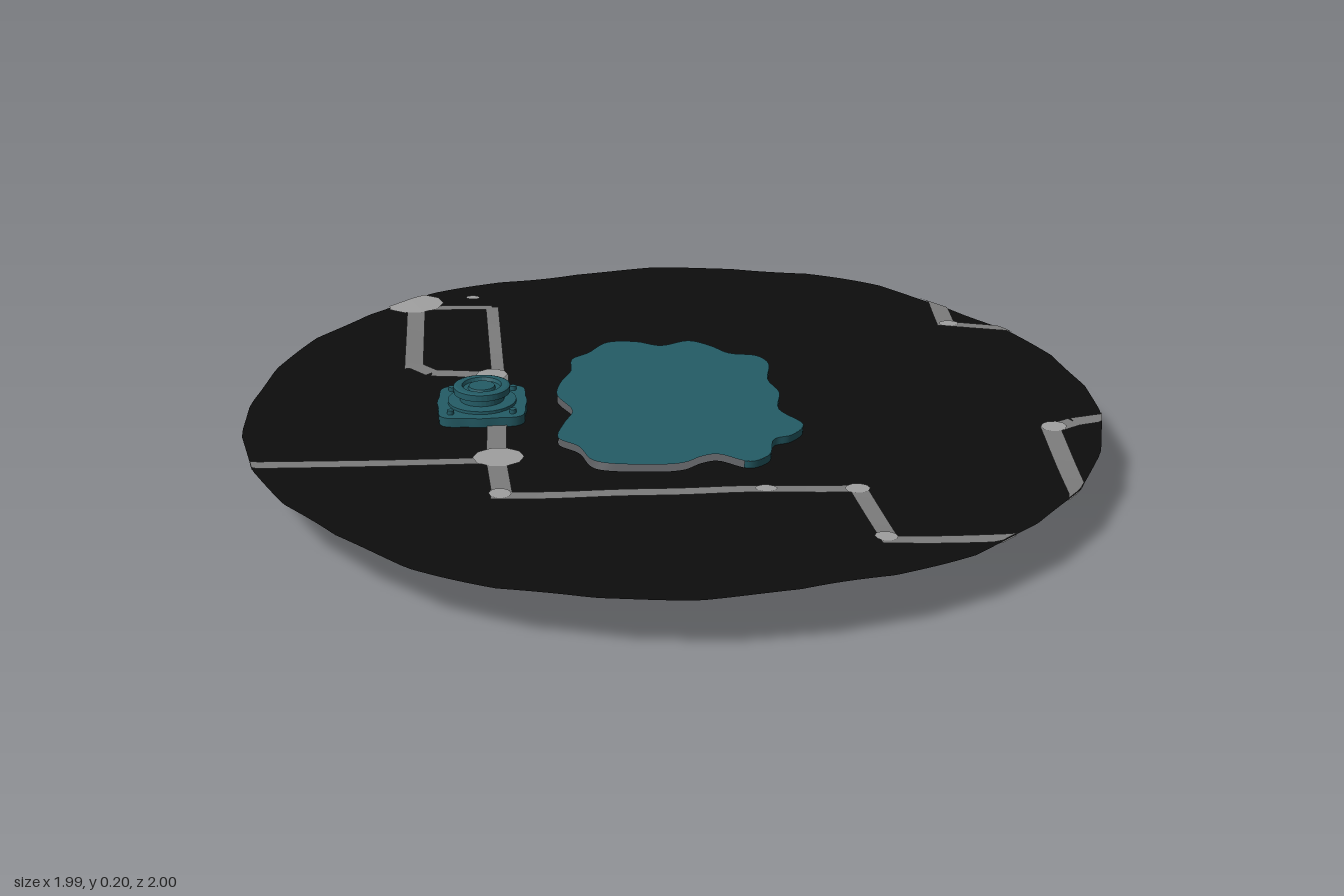
import * as THREE from 'three';

const mat = (name, color, double = true) =>
  new THREE.MeshStandardMaterial({ name, color, side: double ? THREE.DoubleSide : THREE.FrontSide });

// Surface grid from a rule (u, v) -> [x, y, z]
function surf(nu, nv, rule) {
  const pos = [], idx = [];
  for (let i = 0; i <= nu; i++)
    for (let j = 0; j <= nv; j++) pos.push(...rule(i / nu, j / nv));
  for (let i = 0; i < nu; i++)
    for (let j = 0; j < nv; j++) {
      const a = i * (nv + 1) + j, b = a + nv + 1;
      idx.push(a, a + 1, b, b, a + 1, b + 1);
    }
  const g = new THREE.BufferGeometry();
  g.setAttribute('position', new THREE.Float32BufferAttribute(pos, 3));
  g.setIndex(idx);
  g.computeVertexNormals();
  return g;
}

// Gentle waves of the ground, stronger towards the rim
const groundY = (x, z) => {
  const r = Math.hypot(x, z), a = Math.atan2(z, x);
  return 0.13 + r * r * (0.006 * Math.sin(5 * a + 1) + 0.004 * Math.sin(11 * a));
};

// Radius of the 30-sided rim in a given direction
const SIDE = Math.PI / 15;
const rimRadius = (a) => {
  const t = (((a + Math.PI / 2) % SIDE) + SIDE) % SIDE;
  return Math.cos(SIDE / 2) / Math.cos(t - SIDE / 2);
};

// Wavy outline of the basin (x, z)
const outline = new THREE.CatmullRomCurve3([
  [-.19, -.33], [-.14, -.4], [-.07, -.4], [-.01, -.37], [.06, -.4], [.11, -.365], [.155, -.31], [.22, -.29],
  [.245, -.24], [.235, -.13], [.255, -.05], [.245, .055], [.293, .15], [.26, .21], [.22, .23], [.2, .32],
  [.155, .355], [.085, .31], [.05, .32], [.005, .355], [-.085, .36], [-.19, .335], [-.225, .25], [-.27, .2],
  [-.255, .11], [-.235, .04], [-.27, -.06], [-.26, -.14], [-.235, -.21], [-.23, -.29],
].map(([x, z]) => new THREE.Vector3(x, 0, z)), true);

// Flat horizontal face from (x, z) points
function plate(points, y) {
  const g = new THREE.ShapeGeometry(new THREE.Shape(points.map((p) => new THREE.Vector2(p.x, -p.z))));
  return g.rotateX(-Math.PI / 2).translate(0, y, 0);
}

export function createModel() {
  const model = new THREE.Group();
  const black = mat('ground black', 0x0d0d0d);
  const grey = mat('path grey', 0x7c7c7c);
  const light = mat('junction grey', 0xa0a0a0);
  const teal = mat('teal', 0x245c66);

  const add = (name, geo, material, parent = model) => {
    const m = new THREE.Mesh(geo, material);
    m.name = name;
    parent.add(m);
    return m;
  };

  // Ground disc with an opening that follows the basin
  add('ground', surf(240, 12, (u, v) => {
    const p = outline.getPoint(u), a = Math.atan2(p.z, p.x), r = Math.hypot(p.x, p.z) * 0.995;
    // blend to rim vertices spaced evenly around
    const R = r + (rimRadius(a) - r) * v;
    const x = R * Math.cos(a), z = R * Math.sin(a);
    return [x, groundY(x, z), z];
  }), black);

  // Painted point laid on the ground, kept inside the rim
  const onGround = (x, z, lift) => {
    const a = Math.atan2(z, x), k = Math.min(1, rimRadius(a) / Math.hypot(x, z));
    return [x * k, groundY(x * k, z * k) + lift, z * k];
  };

  // Paths: width followed by corner points, drawn on both faces
  const paths = [
    [.036, [-1, .29], [-.41, .29]],
    [.045, [-.41, .06], [-.41, .29], [-.395, .475]],
    [.036, [-.42, .475], [.385, .475]],
    [.04, [.38, .46], [.42, .75]],
    [.036, [.4, .738], [.72, .738]],
    [.05, [-.41, -.1], [-.41, -.23]],
    [.04, [-.41, -.23], [-.57, -.25], [-.615, -.3]],
    [.045, [-.615, -.28], [-.625, -.72]],
    [.03, [-.64, -.695], [-.43, -.695]],
    [.032, [-.43, -.7], [-.41, -.23]],
    [.045, [.725, -.75], [.725, -.53]],
    [.035, [.72, -.545], [.9, -.485]],
    [.045, [.86, .55], [.86, .17]],
    [.045, [.85, .19], [.92, .15], [1.02, .125]],
  ];
  const pathGroup = new THREE.Group();
  pathGroup.name = 'paths';
  model.add(pathGroup);
  for (const [width, ...pts] of paths)
    for (let i = 0; i + 1 < pts.length; i++) {
      const [ax, az] = pts[i], [bx, bz] = pts[i + 1];
      const len = Math.hypot(bx - ax, bz - az);
      const nx = -(bz - az) / len * width, nz = (bx - ax) / len * width;
      for (const lift of [0.003, -0.003])
        add('path', surf(Math.ceil(len / 0.03), 1, (u, v) =>
          onGround(ax + (bx - ax) * u + nx * (v - .5), az + (bz - az) * u + nz * (v - .5), lift)), grey, pathGroup);
    }

  // Paler patches where paths turn or meet: x, z, radius x, radius z
  const junctions = [
    [-.405, .275, .058, .055], [-.425, -.23, .038, .035], [-.4, .468, .025, .025], [.38, .478, .028, .025],
    [.412, .725, .025, .025], [-.63, -.725, .075, .065], [.868, .175, .03, .028], [.732, -.54, .025, .02],
    [-.48, -.765, .018, .014], [.18, .475, .025, .018],
  ];
  for (const [x, z, rx, rz] of junctions)
    for (const lift of [0.005, -0.005])
      add('junction', surf(10, 2, (u, v) => {
        const a = u * Math.PI * 2;
        return onGround(x + rx * v * Math.cos(a), z + rz * v * Math.sin(a), lift);
      }), light, pathGroup);

  // Basin: flat top and a fluted wall round the back and left sides
  const basin = new THREE.Group();
  basin.name = 'basin';
  model.add(basin);
  add('basinTop', plate(outline.getPoints(150), 0.148), teal, basin);
  add('basinWall', surf(150, 4, (u, v) => {
    const p = outline.getPoint((1 - 1 / 30 + u * 17.2 / 30) % 1);
    const k = 1 - 0.09 * Math.pow(v, 1.6) - 0.008 * v * Math.abs(Math.sin(u * 75));
    return [p.x * k, 0.148 * (1 - v), p.z * k];
  }), teal, basin);

  // Pedestal: rounded-square skirt, open underneath
  const pedestal = new THREE.Group();
  pedestal.name = 'pedestal';
  pedestal.position.set(-0.445, 0, -0.015);
  model.add(pedestal);
  const square = (a, k = 1) => {
    const c = Math.abs(Math.cos(a)), s = Math.abs(Math.sin(a));
    const r = k * 0.103 / Math.pow(c ** 5 + s ** 5, 0.2) * (1 + 0.02 * Math.cos(8 * a));
    return new THREE.Vector3(r * Math.cos(a), 0, r * Math.sin(a));
  };
  const ring = Array.from({ length: 64 }, (_, i) => square(i / 64 * Math.PI * 2));
  add('pedestalTop', plate(ring, 0.153), teal, pedestal);
  add('pedestalSkirt', surf(64, 3, (u, v) => {
    const p = square(u * Math.PI * 2, 1 - 0.1 * v * v);
    return [p.x, 0.153 - 0.093 * v, p.z];
  }), teal, pedestal);

  // Stepped drum with a recessed ring around its hub
  const profile = [[.08, .153], [.08, .16], [.052, .161], [.052, .178], [.066, .179], [.066, .194], [.06, .196],
    [.046, .196], [.043, .188], [.032, .188], [.03, .194], [0, .194]];
  const drum = new THREE.LatheGeometry(profile.map(([r, y]) => new THREE.Vector2(r, y)), 32).toNonIndexed();
  drum.computeVertexNormals();
  add('drum', drum, teal, pedestal);

  // Corner bolts
  for (const sx of [-1, 1])
    for (const sz of [-1, 1])
      add('bolt', new THREE.CylinderGeometry(.008, .008, .012, 8).translate(sx * .072, .157, sz * .072), teal, pedestal);

  return model;
}
